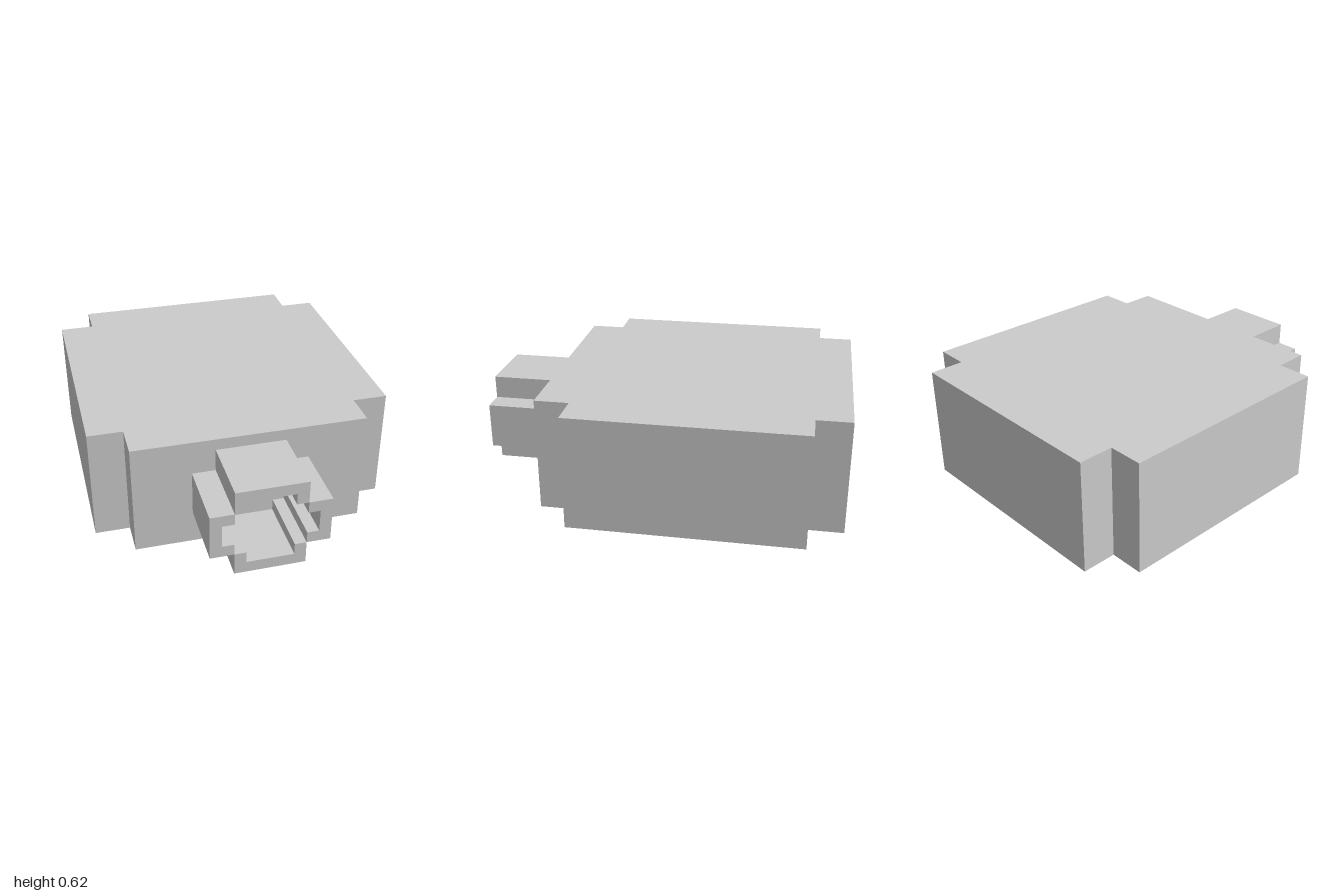
import * as THREE from 'three';

const U = 1 / 16; // modelling grid step
const material = new THREE.MeshStandardMaterial({ color: 0xcccccc, flatShading: true });

function extrude(points, depth) {
  const shape = new THREE.Shape(points.map(([x, y]) => new THREE.Vector2(x * U, y * U)));
  return new THREE.ExtrudeGeometry(shape, { depth: depth * U, bevelEnabled: false });
}

function addMesh(parent, name, geometry) {
  const mesh = new THREE.Mesh(geometry, material);
  mesh.name = name;
  parent.add(mesh);
  return mesh;
}

// U-shaped channel wall, one unit thick, opening towards -y
function channel(halfWidth) {
  const w = halfWidth, i = w - 1;
  return extrude([[-w, 0], [-i, 0], [-i, 1], [i, 1], [i, 0], [w, 0], [w, 2], [-w, 2]], 6);
}

export function createModel() {
  const model = new THREE.Group();
  model.name = 'notchedBlockWithSocket';

  // Block with four notched corners; plan outline is drawn as (x, -z)
  const body = addMesh(model, 'body', extrude([
    [-10, -10], [10, -10], [10, -7], [13, -7], [13, 13], [10, 13],
    [10, 16], [-10, 16], [-10, 13], [-13, 13], [-13, -7], [-10, -7],
  ], 10));
  body.rotation.x = -Math.PI / 2;

  // Hollow cross-shaped socket, made of four channels around its centre
  const socket = new THREE.Group();
  socket.name = 'socket';
  socket.position.set(0, 5 * U, 10 * U);
  model.add(socket);
  ['socketTop', 'socketLeft', 'socketBottom', 'socketRight'].forEach((name, k) => {
    const vertical = k % 2 === 0;
    const angle = -k * Math.PI / 2;
    const reach = (vertical ? 2 : 3) * U;
    const wall = addMesh(socket, name, channel(vertical ? 3 : 2));
    wall.rotation.z = angle;
    wall.position.set(-Math.sin(angle) * reach, Math.cos(angle) * reach, 0);
  });

  return model;
}
